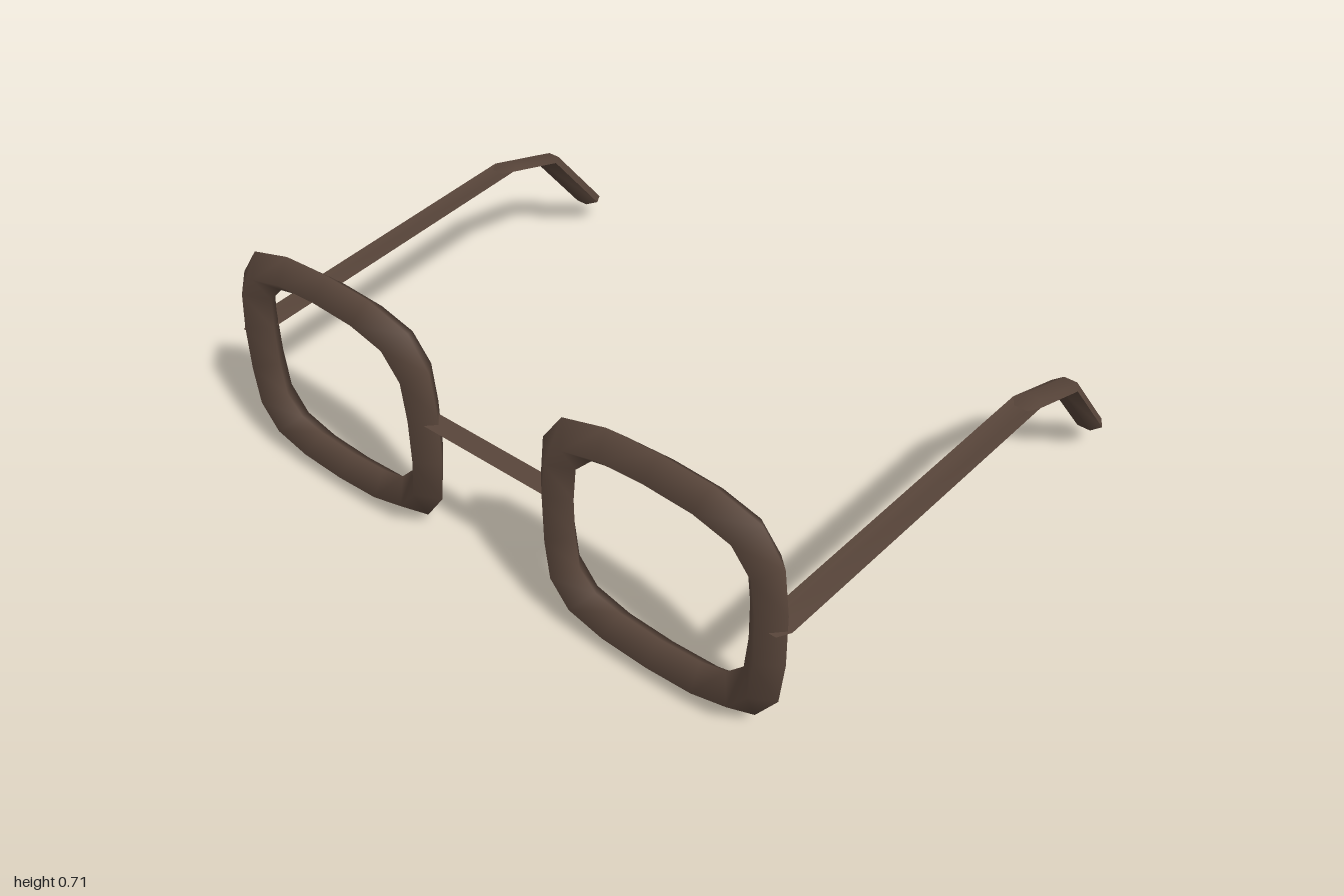
import * as THREE from 'three';
import { toCreasedNormals } from 'three/addons/utils/BufferGeometryUtils.js';

const material = new THREE.MeshStandardMaterial({ color: 0x58453a, side: THREE.DoubleSide });

// Skin rings of equal size. A loop joins last ring to first, otherwise the ends are capped.
function loft(rings, loop) {
  const n = rings[0].length, last = rings.length - 1, index = [];
  const id = (r, k) => (r % rings.length) * n + (k % n);
  for (let r = 0; r < (loop ? rings.length : last); r++) {
    for (let k = 0; k < n; k++) {
      index.push(id(r, k), id(r, k + 1), id(r + 1, k));
      index.push(id(r, k + 1), id(r + 1, k + 1), id(r + 1, k));
    }
  }
  if (!loop) {
    for (let k = 1; k < n - 1; k++) {
      index.push(id(0, 0), id(0, k + 1), id(0, k));
      index.push(id(last, 0), id(last, k), id(last, k + 1));
    }
  }
  const geo = new THREE.BufferGeometry();
  geo.setAttribute('position', new THREE.Float32BufferAttribute(rings.flat(2), 3));
  geo.setIndex(index);
  geo.computeVertexNormals();
  return geo;
}

// Rounded-square rim with a diamond section: outer x, y and inner x, y of one quarter
function rimGeometry() {
  const quarter = [
    [0, 0.353, 0, 0.243],
    [0.155, 0.346, 0.128, 0.235],
    [0.295, 0.305, 0.205, 0.218],
    [0.36, 0.212, 0.257, 0.163],
    [0.375, 0.08, 0.268, 0.06],
  ];
  const flip = (p, sx, sy) => [p[0] * sx, p[1] * sy, p[2] * sx, p[3] * sy];
  const right = [...quarter, ...[...quarter].reverse().map((p) => flip(p, 1, -1))];
  const left = right.slice(1, -1).reverse().map((p) => flip(p, -1, 1));
  const rings = [...right, ...left].map(([ox, oy, ix, iy]) => {
    const mx = (ox + ix) / 2, my = (oy + iy) / 2;
    return [[ox, oy, 0], [mx, my, 0.055], [ix, iy, 0], [mx, my, -0.055]];
  });
  return loft(rings, true);
}

// Temple arm: a level hexagon moved along the path, so its long run is a nearly flat strip
function armGeometry(side) {
  const path = [
    [0.9, 0.385, 0.712],
    [0.943, 0.405, -0.325],
    [0.952, 0.34, -0.53],
    [0.96, 0.088, -0.735],
  ];
  const rings = path.map(([x, y, z]) =>
    Array.from({ length: 6 }, (_, k) => {
      const a = (k * Math.PI) / 3;
      return [side * x + 0.04 * Math.cos(a), y, z + 0.04 * Math.sin(a)];
    }));
  return toCreasedNormals(loft(rings, false), 1);
}

export function createModel() {
  const group = new THREE.Group();
  const add = (name, geo) => {
    const mesh = new THREE.Mesh(geo, material);
    mesh.name = name;
    group.add(mesh);
    return mesh;
  };

  // Rims and arms, one per side
  for (const [name, side] of [['left', 1], ['right', -1]]) {
    add(name + 'Rim', rimGeometry()).position.set(side * 0.555, 0.353, 0.715);
    add(name + 'Arm', armGeometry(side));
  }

  // Flat bridge between the rims
  const bridge = new THREE.PlaneGeometry(0.46, 0.06).rotateX(-Math.PI / 2);
  add('bridge', bridge).position.set(0, 0.405, 0.712);

  return group;
}
